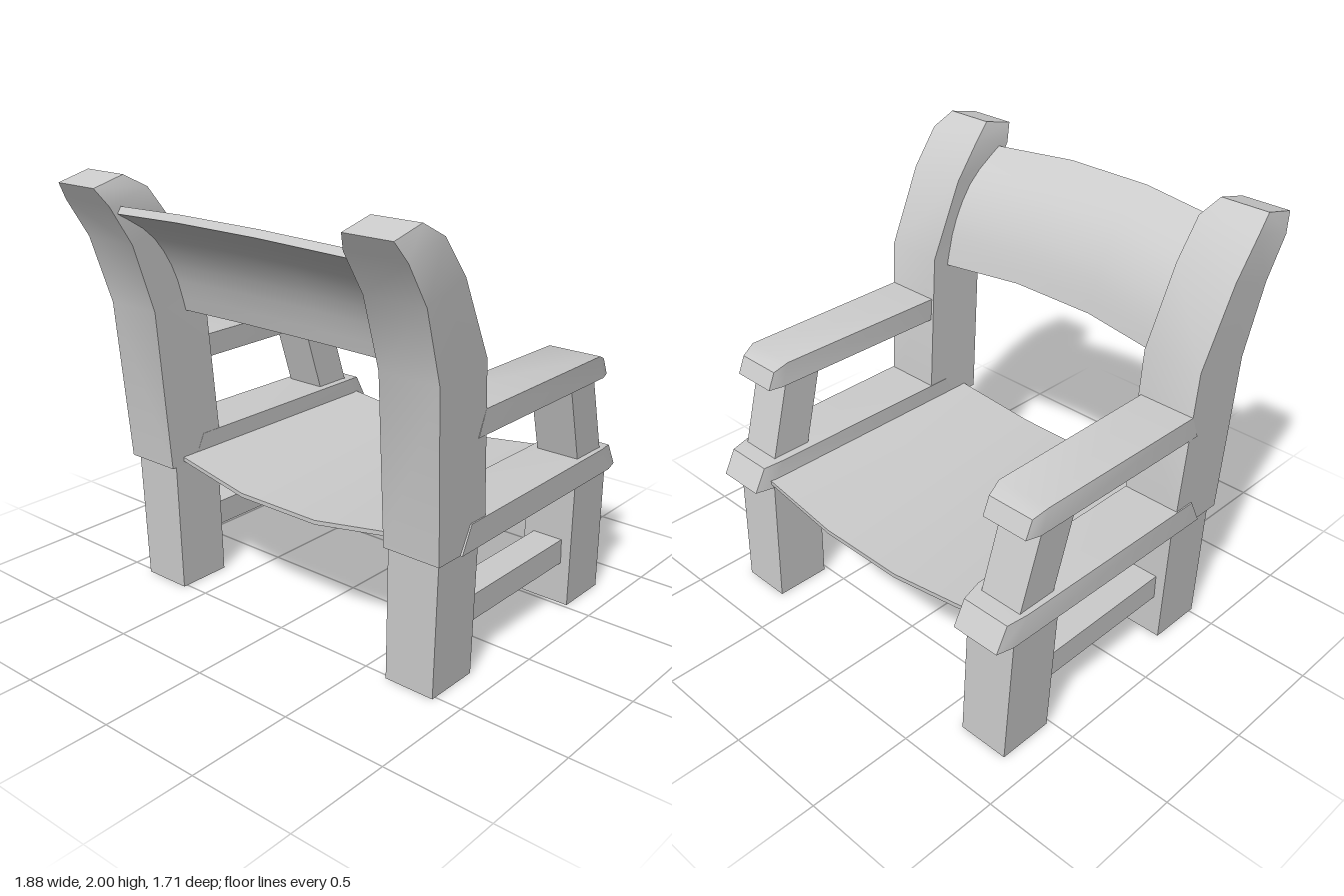
import * as THREE from 'three';
import { toCreasedNormals } from 'three/addons/utils/BufferGeometryUtils.js';

const material = new THREE.MeshStandardMaterial({ color: 0xcccccc });

// Solid skinned over a row of equal-length rings of [x, y, z], capped at both ends
function loft(name, rings, crease = 0.6) {
  const n = rings[0].length;
  const pts = rings.flat().map(p => new THREE.Vector3(...p));
  let tris = [];
  const quad = (a, b, c, d) => tris.push([a, b, c], [a, c, d]);
  for (let r = 0; r < rings.length - 1; r++) {
    for (let i = 0; i < n; i++) {
      const j = (i + 1) % n;
      quad(r * n + i, r * n + j, (r + 1) * n + j, (r + 1) * n + i);
    }
  }
  // Caps as strips, so bent sections stay correct
  const last = (rings.length - 1) * n;
  for (let i = 0; i < n / 2 - 1; i++) {
    const k = n - 1 - i;
    quad(i, k, k - 1, i + 1);
    quad(last + i, last + i + 1, last + k - 1, last + k);
  }
  // Turn the faces outward whichever way the rings run
  const volume = tris.reduce((s, [a, b, c]) => s + pts[a].dot(pts[b].clone().cross(pts[c])), 0);
  if (volume < 0) tris = tris.map(([a, b, c]) => [a, c, b]);
  const geometry = new THREE.BufferGeometry().setFromPoints(pts);
  geometry.setIndex(tris.flat());
  const mesh = new THREE.Mesh(toCreasedNormals(geometry, crease), material);
  mesh.name = name;
  return mesh;
}

// Timber with four-cornered sections: [z1, y1, z2, y2, innerX, outerX]
function timber(name, side, stations) {
  return loft(name, stations.map(([z1, y1, z2, y2, xi, xo]) => [
    [side * xi, y1, z1], [side * xo, y1, z1], [side * xo, y2, z2], [side * xi, y2, z2],
  ]));
}

// Thin curved panel: a [z, y] section swept across x, shifted by the bow at each x
function panel(name, section, bows) {
  return loft(name, bows.map(([x, dz, dy]) => section.map(([z, y]) => [x, y + dy, z + dz(z)])));
}

function sideFrame(side) {
  const frame = new THREE.Group();
  frame.name = side > 0 ? 'leftSide' : 'rightSide';
  frame.add(
    // Swept-back post with a chamfered top
    timber('backPost', side, [
      [0.55, 0.62, 0.24, 0.62, 0.63, 0.91],
      [0.60, 1.38, 0.30, 1.42, 0.64, 0.93],
      [0.70, 1.70, 0.47, 1.77, 0.645, 0.94],
      [0.81, 1.88, 0.60, 1.94, 0.645, 0.94],
      [0.86, 1.96, 0.70, 2.0, 0.68, 0.915],
    ]),
    timber('backLeg', side, [
      [0.52, 0, 0.255, 0, 0.625, 0.87],
      [0.525, 0.62, 0.26, 0.62, 0.635, 0.89],
    ]),
    timber('frontLeg', side, [
      [-0.52, 0, -0.785, 0, 0.625, 0.87],
      [-0.495, 0.63, -0.755, 0.63, 0.635, 0.89],
    ]),
    timber('seatRail', side, [
      [0.35, 0.74, 0.41, 0.62, 0.63, 0.92],
      [-0.69, 0.74, -0.77, 0.62, 0.63, 0.905],
      [-0.79, 0.73, -0.85, 0.62, 0.65, 0.885],
    ]),
    timber('armPost', side, [
      [-0.52, 0.73, -0.715, 0.73, 0.67, 0.88],
      [-0.41, 1.11, -0.60, 1.11, 0.68, 0.89],
    ]),
    timber('armrest', side, [
      [0.285, 1.21, 0.33, 1.10, 0.65, 0.925],
      [-0.60, 1.21, -0.64, 1.10, 0.655, 0.915],
      [-0.67, 1.18, -0.705, 1.10, 0.67, 0.895],
    ]),
    timber('stretcher', side, [
      [0.27, 0.33, 0.27, 0.21, 0.68, 0.83],
      [-0.52, 0.33, -0.52, 0.21, 0.68, 0.83],
    ]),
  );
  return frame;
}

export function createModel() {
  const chair = new THREE.Group();
  chair.name = 'armchair';
  chair.add(sideFrame(1), sideFrame(-1));

  // Sagging seat sheet
  const sag = z => (z < 0 ? -0.01 : 0.03);
  const flat = () => 0;
  chair.add(panel('seat', [[-0.77, 0.66], [0.48, 0.66], [0.48, 0.64], [-0.77, 0.64]],
    [[-0.64, flat, 0], [-0.22, sag, -0.058], [0.22, sag, -0.058], [0.64, flat, 0]]));

  // Bowed back panel following the curve of the posts
  const curve = new THREE.SplineCurve([
    new THREE.Vector2(0.40, 1.36), new THREE.Vector2(0.46, 1.56),
    new THREE.Vector2(0.58, 1.74), new THREE.Vector2(0.76, 1.86),
  ]);
  const front = [], back = [];
  for (let i = 0; i <= 8; i++) {
    const p = curve.getPoint(i / 8), t = curve.getTangent(i / 8);
    front.push([p.x - t.y * 0.018, p.y + t.x * 0.018]);
    back.unshift([p.x + t.y * 0.018, p.y - t.x * 0.018]);
  }
  const bow = () => 0.05;
  chair.add(panel('backPanel', [...front, ...back],
    [[-0.65, flat, 0], [-0.22, bow, 0.025], [0.22, bow, 0.025], [0.65, flat, 0]]));
  return chair;
}
